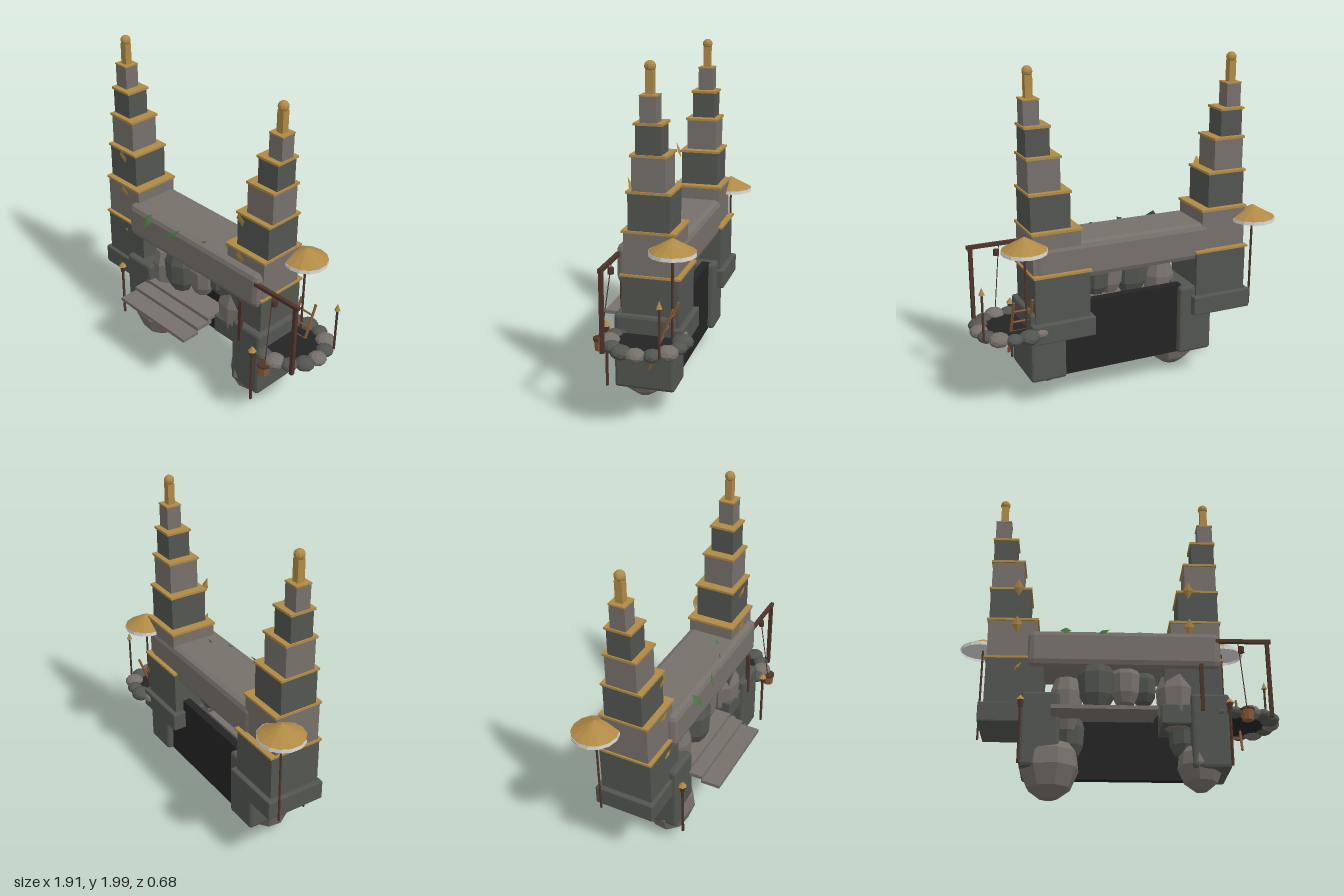
import * as THREE from 'three';
import { RoundedBoxGeometry } from 'three/addons/geometries/RoundedBoxGeometry.js';

const mat = (name, color, double = false) => {
  const m = new THREE.MeshStandardMaterial({ color, flatShading: true });
  if (double) m.side = THREE.DoubleSide;
  m.name = name;
  return m;
};

export function createModel() {
  const model = new THREE.Group();
  const lightStone = mat('light stone', 0x76706a);
  const darkStone = mat('dark stone', 0x525550);
  const shadowStone = mat('black stone', 0x242424);
  const gold = mat('gold', 0xb08a45);
  const wood = mat('dark wood', 0x4e342a);
  const basketWood = mat('light wood', 0x865a38);
  const white = mat('white fringe', 0xdcdcdc, true);
  const green = mat('leaf green', 0x44703f);

  const add = (name, geo, material, x = 0, y = 0, z = 0) => {
    const m = new THREE.Mesh(geo, material);
    m.name = name;
    m.position.set(x, y, z);
    model.add(m);
    return m;
  };
  // Box given by its limits, with an optional chamfer
  const box = (name, material, x0, x1, y0, y1, z0, z1, bevel = 0) => {
    const s = [x1 - x0, y1 - y0, z1 - z0];
    const geo = bevel ? new RoundedBoxGeometry(...s, 1, bevel) : new THREE.BoxGeometry(...s);
    return add(name, geo, material, (x0 + x1) / 2, (y0 + y1) / 2, (z0 + z1) / 2);
  };
  // Round bar between two points
  const rod = (name, material, a, b, r) => {
    const p = new THREE.Vector3(...a), q = new THREE.Vector3(...b);
    const d = q.clone().sub(p);
    const m = add(name, new THREE.CylinderGeometry(r, r, d.length(), 6), material);
    m.position.copy(p).add(q).multiplyScalar(0.5);
    m.quaternion.setFromUnitVectors(new THREE.Vector3(0, 1, 0), d.normalize());
    return m;
  };
  // Faceted boulder: profile of [radius, height] pairs
  const boulder = (name, material, profile, x, y, z, sx, sy, sz, turn = 0, sides = 8) => {
    const geo = new THREE.LatheGeometry(profile.map(p => new THREE.Vector2(...p)), sides);
    geo.rotateY(turn);
    geo.scale(sx, sy, sz);
    return add(name, geo, material, x, y, z);
  };

  // Two stepped towers, each flush on its outer edge
  const tiers = [
    [0.83, 1.08, 0.29, 0.29], [1.08, 1.3, 0.24, 0.235], [1.3, 1.5, 0.192, 0.188],
    [1.5, 1.67, 0.142, 0.142], [1.67, 1.82, 0.094, 0.092],
  ];
  const zc = -0.057;
  for (const [outer, dir] of [[-0.77, 1], [0.6, -1]]) {
    const span = (w, grow) => {
      const a = outer - dir * grow, b = outer + dir * (w + grow);
      return [Math.min(a, b), Math.max(a, b)];
    };
    box('towerFoot', darkStone, ...span(0.33, 0.03), 0.43, 0.55, -0.255, 0.12, 0.008);
    box('towerBase', darkStone, ...span(0.335, 0), 0.54, 0.83, -0.225, 0.1);
    box('towerBaseTrim', gold, ...span(0.335, 0.01), 0.825, 0.838, -0.238, 0.11);
    tiers.forEach(([y0, y1, w, d], i) => {
      box('towerTier', i % 2 ? darkStone : lightStone, ...span(w, 0), y0, y1, zc - d / 2, zc + d / 2);
      if (i < 4) box('tierTrim', gold, ...span(w, 0.008), y1 - 0.006, y1 + 0.008, zc - d / 2 - 0.009, zc + d / 2 + 0.009);
      else box('tierTrim', gold, ...span(w, 0.003), y1 - 0.004, y1 + 0.004, zc - d / 2 - 0.003, zc + d / 2 + 0.003);
    });
    const sx = outer + dir * 0.047;
    box('spire', gold, sx - 0.022, sx + 0.022, 1.82, 1.95, zc - 0.022, zc + 0.022);
    add('spireBall', new THREE.SphereGeometry(0.031, 10, 8), gold, sx, 1.969, zc);
  }

  // Lintel, piers and the dark wall behind the opening
  box('lintel', lightStone, -0.53, 0.595, 0.775, 1.0, -0.21, 0.135, 0.036);
  box('leftPier', darkStone, 0.41, 0.63, 0.17, 0.61, -0.21, 0.14, 0.018);
  box('rightPier', darkStone, -0.555, -0.335, 0.17, 0.61, -0.21, 0.14, 0.018);
  box('backWall', shadowStone, -0.36, 0.43, 0.17, 0.62, -0.17, -0.12);

  // Boulders beneath the piers
  const lower = [[0, 0], [0.3, 0.03], [0.72, 0.2], [1, 0.55], [0.93, 0.85], [0.7, 1], [0, 1.02]];
  boulder('footBoulder', lightStone, lower, -0.39, 0.008, 0.015, 0.175, 0.32, 0.15, 0.3);
  boulder('footBoulder', lightStone, lower, 0.465, 0.065, 0.01, 0.13, 0.25, 0.14, 0.6);

  // Boulders hanging in the opening
  const hang = [[0, 0], [0.6, 0.02], [0.92, 0.25], [1, 0.7], [0.72, 0.95], [0, 1]];
  for (const [m, x, y, z, sx, sy, sz, t] of [
    [lightStone, -0.3, 0.4, 0.02, 0.095, 0.34, 0.09, 0.2],
    [darkStone, -0.27, 0.27, -0.02, 0.08, 0.24, 0.08, 0.5],
    [darkStone, -0.125, 0.535, 0.06, 0.112, 0.29, 0.09, 0.1],
    [lightStone, 0.04, 0.57, 0.03, 0.09, 0.25, 0.08, 0.4],
    [darkStone, 0.15, 0.6, -0.03, 0.08, 0.2, 0.08, 0.3],
    [lightStone, 0.34, 0.42, 0.03, 0.125, 0.34, 0.1, 0.15],
    [darkStone, 0.38, 0.28, -0.02, 0.09, 0.24, 0.08, 0.7],
  ]) boulder('openingBoulder', m, hang, x, y, z, sx, sy, sz, t);

  // Front steps
  box('lowerStep', lightStone, -0.38, 0.205, 0.43, 0.452, 0.22, 0.34);
  box('middleStep', lightStone, -0.38, 0.205, 0.456, 0.48, 0.11, 0.225);
  box('upperStep', lightStone, -0.37, 0.205, 0.484, 0.508, -0.02, 0.14);

  // Well: dark pool ringed by stones
  const wx = 0.7, wz = -0.07;
  add('pool', new THREE.CylinderGeometry(0.2, 0.2, 0.02, 20), shadowStone, wx, 0.495, wz);
  for (let i = 0; i < 14; i++) {
    const a = i / 14 * Math.PI * 2, k = 1 + 0.12 * Math.sin(i * 2.7);
    const stone = add('wellStone', new THREE.IcosahedronGeometry(0.056 * k, 1), i % 3 ? darkStone : lightStone,
      wx + Math.cos(a) * 0.195, 0.5, wz + Math.sin(a) * 0.2);
    stone.scale.y = 0.68;
    stone.rotation.y = i * 1.3;
  }

  // Hoist with cord, pulley and bucket
  box('hoistArm', wood, 0.56, 0.893, 0.935, 0.957, 0.11, 0.132);
  box('hoistPost', wood, 0.86, 0.882, 0.48, 0.95, 0.11, 0.132);
  box('lintelPost', wood, 0.465, 0.487, 0.5, 0.79, 0.125, 0.147);
  rod('cord', wood, [0.7, 0.94, 0.12], [0.72, 0.5, 0.18], 0.003);
  add('pulley', new THREE.CylinderGeometry(0.018, 0.018, 0.036, 8), wood, 0.717, 0.893, 0.12);
  add('bucket', new THREE.CylinderGeometry(0.038, 0.032, 0.07, 8), basketWood, 0.72, 0.465, 0.187);
  add('bucketRim', new THREE.CylinderGeometry(0.041, 0.041, 0.012, 8), wood, 0.72, 0.495, 0.187);

  // Ladder leaning out of the pool
  for (const x of [0.62, 0.73]) rod('ladderRail', basketWood, [x, 0.35, -0.095], [x, 0.71, -0.23], 0.008);
  for (const y of [0.43, 0.5, 0.57, 0.645])
    rod('ladderRung', basketWood, [0.62, y, -0.095 - (y - 0.35) * 0.375], [0.73, y, -0.095 - (y - 0.35) * 0.375], 0.006);

  // Parasols
  for (const [x, y0, r] of [[-0.825, 0.43, 0.135], [0.65, 0.5, 0.13]]) {
    rod('parasolPole', wood, [x, y0, -0.205], [x, 1.05, -0.205], 0.007);
    add('parasolTop', new THREE.ConeGeometry(r, 0.075, 14), gold, x, 1.047, -0.205);
    add('parasolFringe', new THREE.CylinderGeometry(r + 0.002, r + 0.002, 0.022, 14, 1, true), white, x, 0.999, -0.205);
    add('parasolUnderside', new THREE.CylinderGeometry(r, r, 0.004, 14), white, x, 1.006, -0.205);
  }

  // Lamp posts and spear
  for (const x of [-0.553, 0.622]) {
    rod('lampPole', wood, [x, 0.17, 0.185], [x, 0.52, 0.185], 0.009);
    add('lampBody', new THREE.CylinderGeometry(0.02, 0.014, 0.04, 6), wood, x, 0.515, 0.185);
    add('lampCap', new THREE.ConeGeometry(0.026, 0.034, 6), gold, x, 0.55, 0.185);
  }
  rod('spearShaft', wood, [0.905, 0.5, -0.205], [0.905, 0.79, -0.205], 0.007);
  add('spearTip', new THREE.ConeGeometry(0.018, 0.045, 6), gold, 0.905, 0.802, -0.205);

  // Gold diamonds and leaves on the front
  const shard = (name, m, x, y, z, w, h, rx, rz, ry = 0) => {
    const s = add(name, new THREE.OctahedronGeometry(1), m, x, y, z);
    s.scale.set(w, h, 0.008);
    s.rotation.set(rx, ry, rz);
  };
  for (const x of [-0.6, 0.42])
    for (const y of [1.29, 1.045]) shard('goldDiamond', gold, x, y, 0.1, 0.032, 0.054, 0.3, 0);
  shard('goldDiamond', gold, -0.585, 0.77, 0.11, 0.01, 0.035, 0.3, -0.7);
  shard('leaf', green, -0.31, 0.98, 0.16, 0.034, 0.048, -0.75, 0);
  shard('leaf', green, -0.09, 0.98, 0.15, 0.016, 0.052, -0.5, -0.75, 0.3);
  shard('leaf', green, 0.12, 0.995, 0.1, 0.012, 0.03, -0.5, -0.7, 0.4);
  shard('leaf', green, 0.24, 1.0, 0.025, 0.012, 0.026, -0.6, -0.3);
  return model;
}
